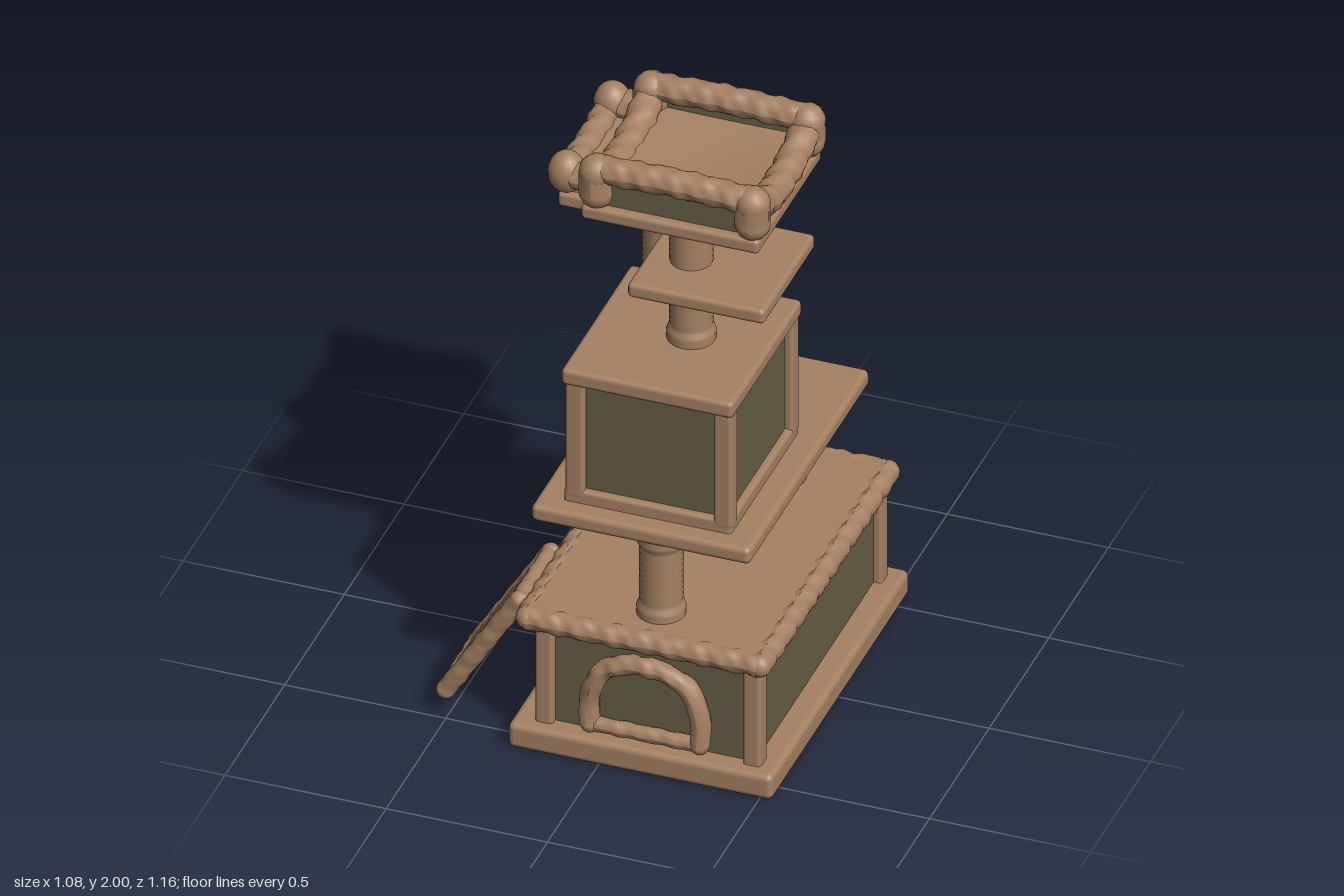
import * as THREE from 'three';
import { RoundedBoxGeometry } from 'three/addons/geometries/RoundedBoxGeometry.js';

const plush = new THREE.MeshStandardMaterial({ color: 0xa58163 });
plush.name = 'tan plush';
const fabric = new THREE.MeshStandardMaterial({ color: 0x655d46 });
fabric.name = 'olive fabric';

const V = (x, y, z) => new THREE.Vector3(x, y, z);

function add(parent, name, geometry, material = plush) {
  const mesh = new THREE.Mesh(geometry, material);
  mesh.name = name;
  parent.add(mesh);
  return mesh;
}

function group(parent, name) {
  const g = new THREE.Group();
  g.name = name;
  parent.add(g);
  return g;
}

// Box given by its limits, with softly rounded edges
function slab(parent, name, [x0, x1], [y0, y1], [z0, z1], radius = 0.015, material = plush) {
  const w = x1 - x0, h = y1 - y0, d = z1 - z0;
  const geo = radius ? new RoundedBoxGeometry(w, h, d, 3, radius) : new THREE.BoxGeometry(w, h, d);
  geo.translate((x0 + x1) / 2, (y0 + y1) / 2, (z0 + z1) / 2);
  return add(parent, name, geo, material);
}

// Lumpy stuffed roll along a smooth path, with round ends
function roll(parent, name, points, radius, lump = 0.004) {
  const curve = new THREE.CatmullRomCurve3(points);
  const steps = Math.ceil(curve.getLength() / 0.012);
  const geo = new THREE.TubeGeometry(curve, steps, radius, 14);
  const p = geo.attributes.position, n = geo.attributes.normal;
  for (let i = 0; i < p.count; i++) {
    const x = p.getX(i), y = p.getY(i), z = p.getZ(i);
    const d = lump * (Math.sin(70 * (x + z) + 25 * y) * 0.6 + Math.sin(113 * (x - z) + 40 * y) * 0.4);
    p.setXYZ(i, x + n.getX(i) * d, y + n.getY(i) * d, z + n.getZ(i) * d);
  }
  geo.computeVertexNormals();
  add(parent, name, geo);
  for (const end of [points[0], points[points.length - 1]]) {
    add(parent, name + 'End', new THREE.SphereGeometry(radius, 14, 10)).position.copy(end);
  }
}

// Rope-wound post with a collar at each end
function ropePost(parent, name, x, z, y0, y1) {
  const profile = [];
  const turns = Math.round((y1 - y0) / 0.02);
  for (let i = 0; i <= turns * 2; i++) {
    const y = y0 + (y1 - y0) * i / (turns * 2);
    const collar = Math.min(y - y0, y1 - y) < 0.045 ? 0.008 : 0;
    profile.push(new THREE.Vector2(0.063 + collar + (i % 2) * 0.003, y));
  }
  add(parent, name, new THREE.LatheGeometry(profile, 28)).position.set(x, 0, z);
}

// Padded arch around a doorway, drawn in the xy plane and facing +z
function arch(parent, name, halfWidth, height, radius) {
  const g = group(parent, name);
  const w = halfWidth, h = height;
  roll(g, 'archTrim', [V(-w, 0, 0), V(-w, h * 0.4, 0), V(-w * 0.8, h * 0.78, 0), V(-w * 0.35, h * 0.97, 0),
    V(w * 0.35, h * 0.97, 0), V(w * 0.8, h * 0.78, 0), V(w, h * 0.4, 0), V(w, 0, 0)], radius, 0.004);
  roll(g, 'doorSill', [V(-w, 0, 0), V(0, 0, 0), V(w, 0, 0)], radius * 0.8, 0.002);
  return g;
}

// Sagging cushion between the bolsters of a bed
function cushion(parent, [x0, x1], [z0, z1], y, sag) {
  const geo = new THREE.BoxGeometry(x1 - x0, 0.05, z1 - z0, 12, 1, 12);
  const p = geo.attributes.position;
  for (let i = 0; i < p.count; i++) {
    if (p.getY(i) < 0) continue;
    const u = p.getX(i) / (x1 - x0), v = p.getZ(i) / (z1 - z0);
    p.setY(i, p.getY(i) - sag * Math.cos(Math.PI * u) * Math.cos(Math.PI * v));
  }
  geo.computeVertexNormals();
  add(parent, 'cushion', geo).position.set((x0 + x1) / 2, y - 0.025, (z0 + z1) / 2);
}

function buildLowerHouse(root) {
  const g = group(root, 'lowerHouse');
  slab(g, 'base', [-0.28, 0.54], [0, 0.085], [-0.58, 0.58], 0.02);
  slab(g, 'rearWalls', [-0.235, 0.465], [0.08, 0.42], [-0.51, -0.11], 0, fabric);
  slab(g, 'frontWalls', [-0.185, 0.465], [0.08, 0.42], [-0.11, 0.515], 0, fabric);
  for (const [x, z] of [[-0.235, -0.507], [-0.232, -0.115], [-0.183, 0.51], [0.462, -0.507], [0.462, 0.51]]) {
    slab(g, 'cornerPost', [x - 0.028, x + 0.028], [0.07, 0.42], [z - 0.03, z + 0.03], 0.012);
  }
  // Roof board with a padded rim
  slab(g, 'roof', [-0.24, 0.49], [0.402, 0.471], [-0.55, 0.54], 0.02);
  const [x0, x1, z0, z1, y] = [-0.235, 0.485, -0.541, 0.53, 0.437];
  for (const x of [x0, x1]) roll(g, 'roofRim', [V(x, y, z0), V(x, y, 0), V(x, y, z1)], 0.036);
  for (const z of [z0, z1]) roll(g, 'roofRim', [V(x0, y, z), V(0.1, y, z), V(x1, y, z)], 0.036);
  arch(g, 'frontDoor', 0.17, 0.235, 0.03).position.set(0.132, 0.12, 0.54);
}

function buildRamp(root) {
  // Local x runs down the slope
  const g = group(root, 'ramp');
  const top = V(-0.285, 0.445, 0.333), foot = V(-0.513, 0.078, 0.333);
  const half = top.distanceTo(foot) / 2;
  g.position.copy(top).add(foot).multiplyScalar(0.5);
  g.rotation.z = Math.atan2(foot.y - top.y, foot.x - top.x);
  for (const z of [-0.132, 0.132]) roll(g, 'sideRail', [V(-half, 0, z), V(0, 0, z), V(half, 0, z)], 0.029, 0.002);
  for (const x of [-half, half]) roll(g, 'endRail', [V(x, 0, -0.132), V(x, 0, 0), V(x, 0, 0.132)], 0.026, 0.002);
  slab(g, 'board', [-half, half], [-0.016, 0.014], [-0.13, 0.13], 0);
  for (let i = 0; i < 9; i++) {
    const x = -half + 0.04 + i * (2 * half - 0.08) / 8;
    slab(g, 'tread', [x - 0.012, x + 0.012], [-0.021, 0.019], [-0.12, 0.12], 0.005);
  }
}

function buildUpperHouse(root) {
  const g = group(root, 'upperHouse');
  slab(g, 'floor', [-0.16, 0.36], [0.79, 0.848], [-0.135, 0.435], 0.012);
  slab(g, 'walls', [-0.132, 0.338], [0.83, 1.23], [-0.112, 0.412], 0, fabric);
  for (const x of [-0.127, 0.333]) {
    for (const z of [-0.107, 0.407]) {
      slab(g, 'cornerPost', [x - 0.029, x + 0.029], [0.82, 1.24], [z - 0.029, z + 0.029], 0.012);
    }
  }
  slab(g, 'roof', [-0.165, 0.368], [1.215, 1.27], [-0.142, 0.445], 0.015);
  const door = arch(g, 'sideDoor', 0.158, 0.3, 0.03);
  door.position.set(-0.155, 0.862, 0.145);
  door.rotation.y = -Math.PI / 2;
}

function buildTopBed(root) {
  const g = group(root, 'topBed');
  slab(g, 'bedBoard', [-0.115, 0.437], [1.79, 1.838], [-0.118, 0.415], 0.014);
  cushion(g, [-0.08, 0.41], [-0.09, 0.38], 1.895, 0.02);
  const xs = [-0.078, 0.405], zs = [-0.085, 0.375];
  for (const z of zs) {
    slab(g, 'fabricPanel', [-0.07, 0.4], [1.83, 1.95], [z - 0.012, z + 0.012], 0, fabric);
    roll(g, 'endBolster', [V(xs[0], 1.95, z), V(0.16, 1.957, z), V(xs[1], 1.95, z)], 0.043);
    for (const x of xs) {
      roll(g, 'cornerBolster', [V(x, 1.875, z), V(x, 1.91, z), V(x, 1.942, z)], 0.054, 0.003);
    }
  }
  for (const x of xs) {
    roll(g, 'sideBolster', [V(x, 1.925, zs[0]), V(x, 1.882, 0.06), V(x, 1.878, 0.23), V(x, 1.925, zs[1])], 0.046);
  }
}

function buildLowerBed(root) {
  const g = group(root, 'lowerBed');
  slab(g, 'bedBoard', [-0.37, 0.04], [1.46, 1.51], [-0.505, -0.08], 0.014);
  cushion(g, [-0.36, 0.03], [-0.48, -0.1], 1.56, 0.015);
  const xs = [-0.347, 0.015], zs = [-0.483, -0.1];
  for (const z of zs) {
    roll(g, 'endBolster', [V(xs[0], 1.575, z), V(-0.166, 1.575, z), V(xs[1], 1.575, z)], 0.048);
    for (const x of xs) {
      const ball = add(g, 'cornerBolster', new THREE.SphereGeometry(0.056, 20, 14));
      ball.position.set(x, 1.578, z);
      ball.scale.y = 1.2;
    }
  }
  for (const x of [-0.356, 0.026]) {
    roll(g, 'sideBolster', [V(x, 1.56, zs[0]), V(x, 1.548, -0.29), V(x, 1.56, zs[1])], 0.04);
  }
}

export function createModel() {
  const root = new THREE.Group();
  root.name = 'catTree';
  buildLowerHouse(root);
  buildRamp(root);

  // Posts and middle platform
  ropePost(root, 'frontPost', 0.135, 0.41, 0.46, 0.76);
  ropePost(root, 'rearPost', 0.22, -0.367, 0.46, 0.76);
  ropePost(root, 'rearPost', -0.145, -0.367, 0.46, 0.76);
  slab(root, 'middlePlatform', [-0.24, 0.44], [0.75, 0.806], [-0.515, 0.495], 0.018);
  ropePost(root, 'tallPost', -0.135, -0.345, 0.8, 1.465);

  buildUpperHouse(root);
  ropePost(root, 'upperPost', 0.132, 0.15, 1.265, 1.795);
  slab(root, 'smallPlatform', [0, 0.425], [1.49, 1.54], [-0.1, 0.335], 0.015);
  buildTopBed(root);
  buildLowerBed(root);
  return root;
}
